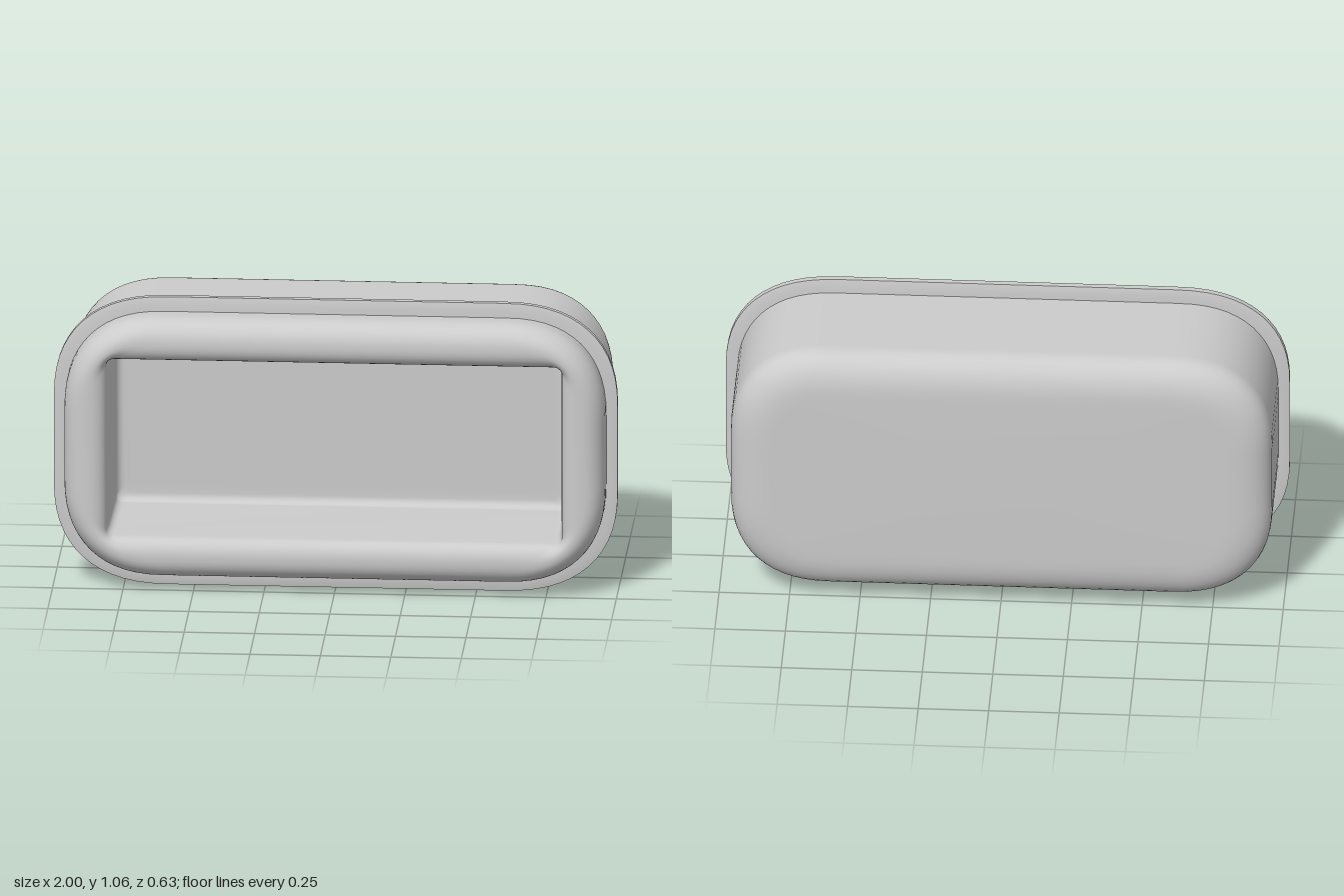
import * as THREE from 'three';

const MID_Y = 0.532;   // height of the centre line
const CORNER = 14;     // steps per rounded corner

// Rounded rectangle ring (counter-clockwise seen from +z), super-elliptic corners
function ring({ hx, hy, z, rx, ry, n = 2.4 }) {
  const pts = [];
  for (let q = 0; q < 4; q++) {
    const sx = q === 0 || q === 3 ? 1 : -1, sy = q < 2 ? 1 : -1;
    for (let i = 0; i <= CORNER; i++) {
      const t = (q + i / CORNER) * Math.PI / 2;
      const c = Math.pow(Math.abs(Math.cos(t)), 2 / n), s = Math.pow(Math.abs(Math.sin(t)), 2 / n);
      pts.push([sx * (hx - rx + rx * c), MID_Y + sy * (hy - ry + ry * s), z]);
    }
  }
  return pts;
}

// Skin through rings running from back to front over the outside
function loft(rings, name, closed = false) {
  const pos = [], idx = [], m = 4 * (CORNER + 1);
  rings.forEach(r => ring(r).forEach(p => pos.push(...p)));
  const last = closed ? rings.length : rings.length - 1;
  for (let k = 0; k < last; k++) {
    const a0 = k * m, b0 = ((k + 1) % rings.length) * m;
    for (let i = 0; i < m; i++) {
      const j = (i + 1) % m;
      idx.push(a0 + i, a0 + j, b0 + j, a0 + i, b0 + j, b0 + i);
    }
  }
  const geo = new THREE.BufferGeometry();
  geo.setAttribute('position', new THREE.Float32BufferAttribute(pos, 3));
  geo.setIndex(idx);
  geo.computeVertexNormals();
  const mesh = new THREE.Mesh(geo, new THREE.MeshStandardMaterial({ color: 0xcccccc, side: THREE.DoubleSide }));
  mesh.name = name;
  return mesh;
}

// Quarter of a super-ellipse: u and v both run 0..1
const quarter = (steps, n, fn) => Array.from({ length: steps + 1 }, (_, i) => {
  const t = i / steps * Math.PI / 2;
  return fn(1 - Math.pow(Math.max(0, Math.cos(t)), 2 / n), Math.pow(Math.sin(t), 2 / n));
});
const lerp = THREE.MathUtils.lerp;

export function createModel() {
  const group = new THREE.Group();
  group.name = 'container';

  // Outer ring inset by d, corners sized r
  const inset = (d, z, r = 0.36 - d) => ({ hx: 0.96 - d, hy: 0.48 - d, z, rx: r, ry: r });

  // Back panel and its rounded edge, then the side walls
  const back = [
    { hx: 0, hy: 0, z: -0.316, rx: 0, ry: 0 },
    { hx: 0.4, hy: 0.16, z: -0.316, rx: 0.1, ry: 0.1 },
    ...quarter(10, 2.4, (u, v) => inset(0.16 * u, -0.205 - 0.109 * v)).reverse(),
  ];

  // Fat front rim: outer roll, crest, inner roll into the opening
  const rimR = d => lerp(0.36, 0.03, Math.pow(d / 0.152, 1.3));
  const rim = [
    ...quarter(10, 2.3, (u, v) => inset(0.09 * u, 0.215 + 0.1 * v, rimR(0.09 * u))),
    ...quarter(7, 2.1, (u, v) => inset(0.152 - 0.062 * u, 0.265 + 0.05 * v, rimR(0.152 - 0.062 * u))).reverse().slice(1),
  ];
  group.add(loft([...back, ...rim], 'shell'));

  // Recess: nearly straight walls, small fillet, flat floor
  const recess = [
    { hx: 0.808, hy: 0.328, z: 0.265, rx: 0.03, ry: 0.03 },
    { hx: 0.803, hy: 0.324, z: 0.2, rx: 0.03, ry: 0.03 },
    { hx: 0.798, hy: 0.319, z: -0.1, rx: 0.03, ry: 0.03 },
    ...quarter(5, 2, (u, v) => ({ hx: 0.798 - 0.03 * u, hy: 0.319 - 0.03 * u, z: -0.1 - 0.03 * v, rx: 0.03, ry: 0.03 })).slice(1),
    { hx: 0.74, hy: 0.26, z: -0.131, rx: 0.03, ry: 0.03 },
    { hx: 0, hy: 0, z: -0.131, rx: 0, ry: 0 },
  ];
  group.add(loft(recess, 'recess'));

  // Thin tapered flange around the body; each face has its own rings for crisp edges
  const inner = z => ({ hx: 0.94, hy: 0.46, z, rx: 0.34, ry: 0.34 });
  const base = z => ({ hx: 0.975, hy: 0.505, z, rx: 0.38, ry: 0.36 });
  const tip = z => ({ hx: 1, hy: 0.532, z, rx: 0.41, ry: 0.38 });
  const flange = new THREE.Group();
  flange.name = 'flange';
  flange.add(
    loft([inner(0.148), base(0.149), tip(0.155)], 'flangeBack'),
    loft([tip(0.155), tip(0.177)], 'flangeEdge'),
    loft([tip(0.177), base(0.183), inner(0.184)], 'flangeFront'),
  );
  group.add(flange);
  return group;
}
